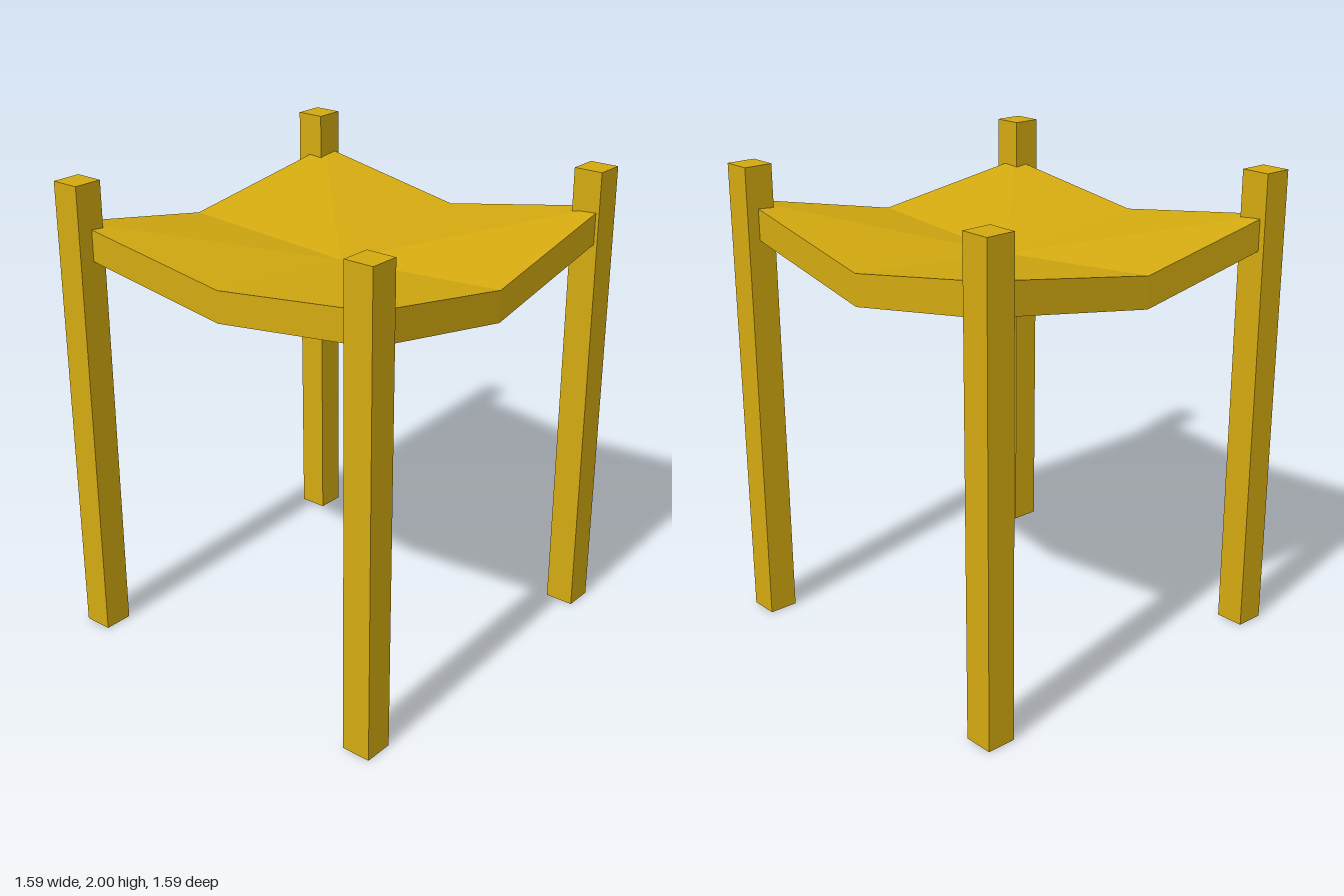
import * as THREE from 'three';

// Sagging seat: a 3 x 3 grid of points (back row first), extruded straight down
function seatGeometry(thickness) {
  const top = [
    [-0.73, 1.83, -0.77], [0, 1.70, -0.76], [0.78, 1.845, -0.74],
    [-0.76, 1.70, 0.04], [0, 1.64, 0], [0.78, 1.69, 0],
    [-0.77, 1.825, 0.73], [0, 1.71, 0.72], [0.745, 1.81, 0.73],
  ];
  const bottom = top.map(([x, y, z]) => [x, y - thickness, z]);
  const positions = [];
  const tri = (a, b, c) => positions.push(...a, ...b, ...c);

  // Upper and lower faces, each quad split from the centre to its corner
  for (let r = 0; r < 2; r++) {
    for (let c = 0; c < 2; c++) {
      const a = r * 3 + c, b = a + 3, e = a + 4, d = a + 1;
      const tris = (r + c) % 2 === 0 ? [[a, b, e], [a, e, d]] : [[a, b, d], [b, e, d]];
      for (const [i, j, k] of tris) {
        tri(top[i], top[j], top[k]);
        tri(bottom[k], bottom[j], bottom[i]);
      }
    }
  }

  // Rim around the edge
  const rim = [0, 3, 6, 7, 8, 5, 2, 1];
  rim.forEach((p, i) => {
    const q = rim[(i + 1) % rim.length];
    tri(bottom[p], bottom[q], top[q]);
    tri(bottom[p], top[q], top[p]);
  });

  const geometry = new THREE.BufferGeometry();
  geometry.setAttribute('position', new THREE.Float32BufferAttribute(positions, 3));
  geometry.computeVertexNormals();
  return geometry;
}

export function createModel() {
  const model = new THREE.Group();
  model.name = 'stool';

  const wood = new THREE.MeshStandardMaterial({ color: 0xd4aa10 });
  wood.name = 'golden wood';

  const seat = new THREE.Mesh(seatGeometry(0.132), wood);
  seat.name = 'seat';
  model.add(seat);

  // Four square posts rising above the seat corners
  const legGeometry = new THREE.BoxGeometry(0.126, 2, 0.126);
  for (const [side, x] of [['Left', 0.732], ['Right', -0.732]]) {
    for (const [end, z] of [['front', 0.732], ['back', -0.732]]) {
      const leg = new THREE.Mesh(legGeometry, wood);
      leg.name = `${end}${side}Leg`;
      leg.position.set(x, 1, z);
      model.add(leg);
    }
  }
  return model;
}
